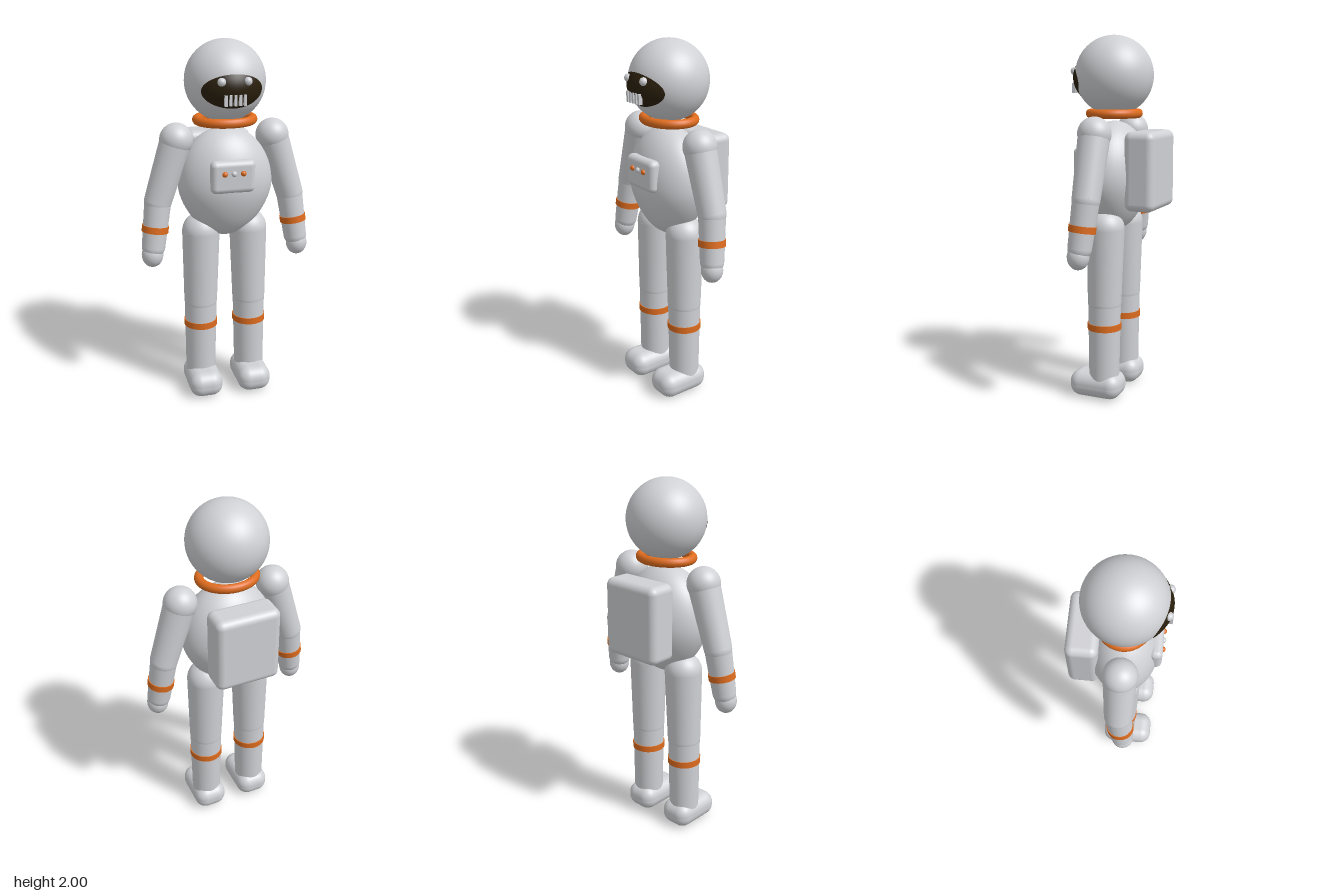
import * as THREE from 'three';
import { RoundedBoxGeometry } from 'three/addons/geometries/RoundedBoxGeometry.js';

const V = (x, y, z) => new THREE.Vector3(x, y, z);
const UP = V(0, 1, 0);

export function createModel() {
  const material = (name, color, side = THREE.FrontSide) => {
    const m = new THREE.MeshStandardMaterial({ color, side });
    m.name = name;
    return m;
  };
  const suit = material('suit grey', 0xd0d1d5);
  const orange = material('trim orange', 0xde6c1e);
  const dark = material('visor brown black', 0x2a1f0c, THREE.DoubleSide);

  const model = new THREE.Group();
  model.name = 'astronaut';

  const add = (parent, name, geometry, mat, pos = V(0, 0, 0)) => {
    const mesh = new THREE.Mesh(geometry, mat);
    mesh.name = name;
    mesh.position.copy(pos);
    parent.add(mesh);
    return mesh;
  };
  const ball = (parent, name, r, pos, mat = suit) =>
    add(parent, name, new THREE.SphereGeometry(r, 32, 20), mat, pos);
  // Tapered tube from a (radius ra) down to b (radius rb)
  const limb = (parent, name, a, b, ra, rb, mat = suit) => {
    const dir = a.clone().sub(b);
    const geometry = new THREE.CylinderGeometry(ra, rb, dir.length(), 32);
    const mesh = add(parent, name, geometry, mat, a.clone().add(b).multiplyScalar(0.5));
    mesh.quaternion.setFromUnitVectors(UP, dir.normalize());
    return mesh;
  };
  // Short ring around the segment a-b, centred at fraction t
  const band = (parent, name, a, b, t, r) => {
    const c = a.clone().lerp(b, t);
    const half = a.clone().sub(b).setLength(0.018);
    return limb(parent, name, c.clone().add(half), c.clone().sub(half), r, r, orange);
  };

  // Helmet
  const headR = 0.215, headC = V(0, 1.785, 0.03);
  add(model, 'helmet', new THREE.SphereGeometry(headR, 48, 32), suit, headC);
  const onHead = (x, y, lift) =>
    headC.z + Math.sqrt(headR * headR - x * x - (y - headC.y) ** 2) + lift;

  // Visor: an oval shell that follows the helmet and bulges slightly
  const visorGeo = new THREE.RingGeometry(0.001, 1, 48, 10);
  const p = visorGeo.attributes.position;
  for (let i = 0; i < p.count; i++) {
    const r = Math.hypot(p.getX(i), p.getY(i));
    const x = p.getX(i) * 0.16, y = 1.757 + p.getY(i) * 0.088;
    p.setXYZ(i, x, y, onHead(x, y, 0.002 + 0.014 * (1 - r * r)));
  }
  visorGeo.computeVertexNormals();
  add(model, 'visor', visorGeo, dark);

  // Face details on the visor
  for (const s of [-1, 1]) ball(model, 'eye', 0.022, V(s * 0.068, 1.808, 0.237));
  for (let i = -2; i <= 2; i++) {
    add(model, 'tooth', new THREE.BoxGeometry(0.014, 0.056, 0.022), suit, V(i * 0.025, 1.717, 0.249));
  }

  // Neck ring
  const collar = add(model, 'collar', new THREE.TorusGeometry(0.15, 0.025, 16, 64), orange, V(0, 1.58, 0.03));
  collar.rotation.x = Math.PI / 2;
  collar.scale.y = 0.87;

  // Egg-shaped torso, narrower toward the bottom
  const profile = [];
  for (let i = 0; i <= 32; i++) {
    const a = -Math.PI / 2 + (Math.PI * i) / 32;
    const y = Math.sin(a);
    const taper = y < 0 ? 1 + 0.3 * y * (-y) * (1 + y) - 0.08 * y * y : 1;
    profile.push(new THREE.Vector2(Math.max(0, 0.26 * Math.cos(a) * taper), 0.3025 * y));
  }
  const torso = add(model, 'torso', new THREE.LatheGeometry(profile, 48), suit, V(0, 1.2375, 0.03));
  torso.scale.z = 0.73;

  // Chest panel with three buttons
  add(model, 'chestPanel', new RoundedBoxGeometry(0.24, 0.175, 0.07, 5, 0.03), suit, V(0, 1.308, 0.198));
  [-0.05, 0, 0.05].forEach((x) =>
    ball(model, 'button', 0.015, V(x, 1.33, 0.232), x === 0 ? suit : orange));

  // Life-support pack
  add(model, 'backpack', new RoundedBoxGeometry(0.36, 0.425, 0.17, 6, 0.04), suit, V(0, 1.278, -0.177));

  for (const s of [1, -1]) {
    // Arm
    const arm = new THREE.Group();
    arm.name = s > 0 ? 'leftArm' : 'rightArm';
    model.add(arm);
    const shoulder = V(s * 0.265, 1.482, 0.03);
    const elbow = V(s * 0.372, 1.15, 0.03);
    const wrist = V(s * 0.406, 0.9, 0.052);
    ball(arm, 'shoulder', 0.09, shoulder);
    limb(arm, 'upperArm', shoulder, elbow, 0.086, 0.075);
    ball(arm, 'elbow', 0.075, elbow);
    limb(arm, 'forearm', elbow, wrist, 0.073, 0.064);
    ball(arm, 'cuff', 0.064, wrist);
    const hand = ball(arm, 'hand', 0.059, V(s * 0.414, 0.855, 0.058));
    hand.scale.y = 1.17;
    band(arm, 'armBand', elbow, wrist, 0.6, 0.073);

    // Leg
    const leg = new THREE.Group();
    leg.name = s > 0 ? 'leftLeg' : 'rightLeg';
    model.add(leg);
    const hip = V(s * 0.135, 0.96, 0.025);
    const knee = V(s * 0.141, 0.55, 0.03);
    const ankle = V(s * 0.145, 0.08, 0.032);
    ball(leg, 'hip', 0.104, hip);
    limb(leg, 'thigh', hip, knee, 0.104, 0.093);
    ball(leg, 'knee', 0.093, knee);
    limb(leg, 'shin', knee, ankle, 0.091, 0.084);
    band(leg, 'legBand', knee, ankle, 0.29, 0.094);
    add(leg, 'boot', new RoundedBoxGeometry(0.19, 0.145, 0.3, 6, 0.065), suit, V(s * 0.142, 0.0725, 0.072));
  }

  return model;
}
